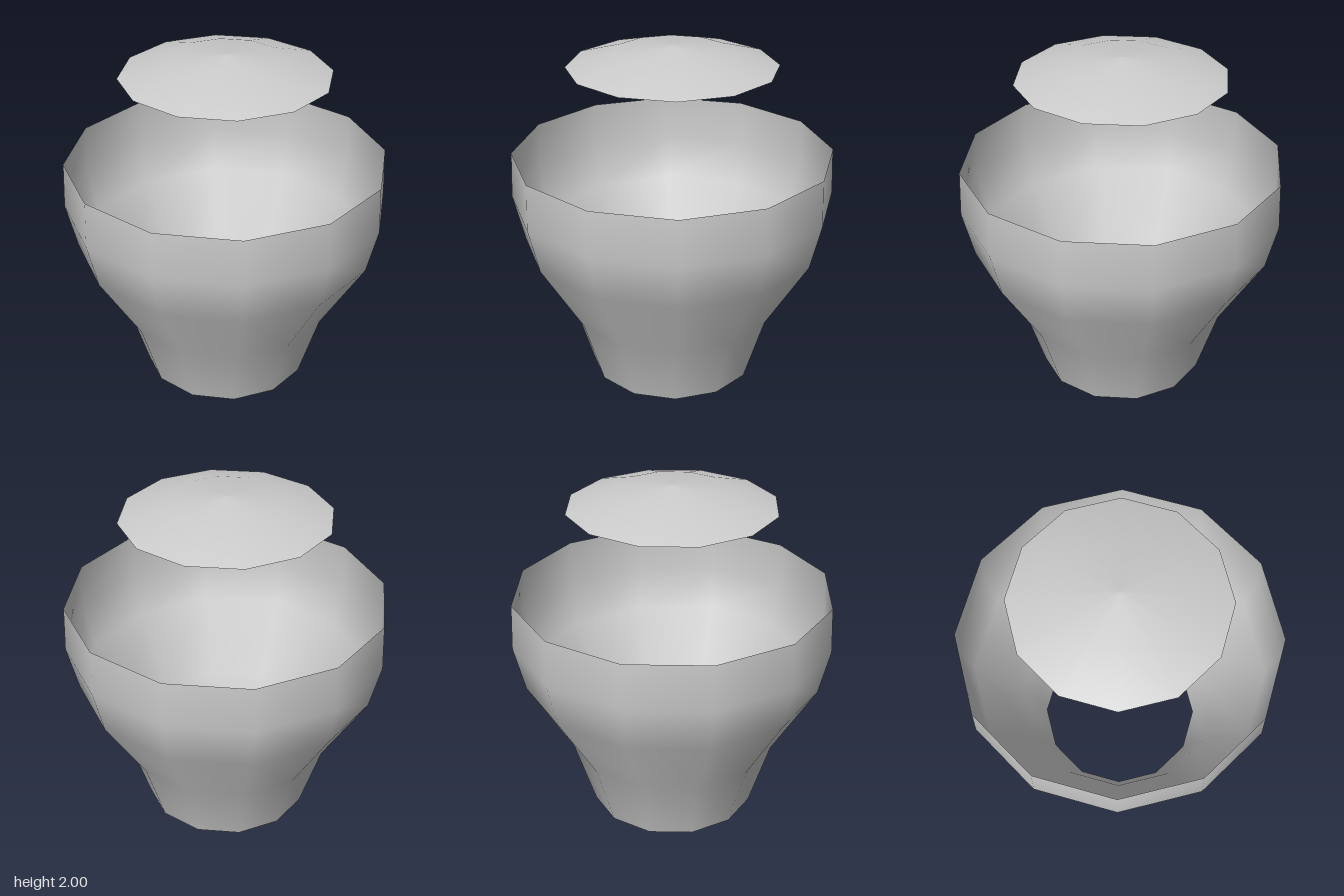
import * as THREE from 'three';

const SIDES = 12;

// Smooth-shaded open shell turned around the y axis from [radius, height] pairs
function turned(name, profile, material) {
  const points = profile.map(([r, y]) => new THREE.Vector2(r, y));
  const mesh = new THREE.Mesh(new THREE.LatheGeometry(points, SIDES), material);
  mesh.name = name;
  return mesh;
}

export function createModel() {
  const model = new THREE.Group();
  model.name = 'lidded urn';

  const clay = new THREE.MeshStandardMaterial({ color: 0xcccccc, side: THREE.DoubleSide });
  clay.name = 'light grey clay';

  // Thin-walled body, open at the rim and the foot
  model.add(turned('body', [
    [0.485, 0], [0.61, 0.4], [0.87, 0.83], [0.935, 1.1], [0.925, 1.37],
  ], clay));

  // Shallow domed lid hovering above the rim
  model.add(turned('lid', [[0.6, 1.88], [0.335, 1.96], [0, 2]], clay));

  return model;
}
